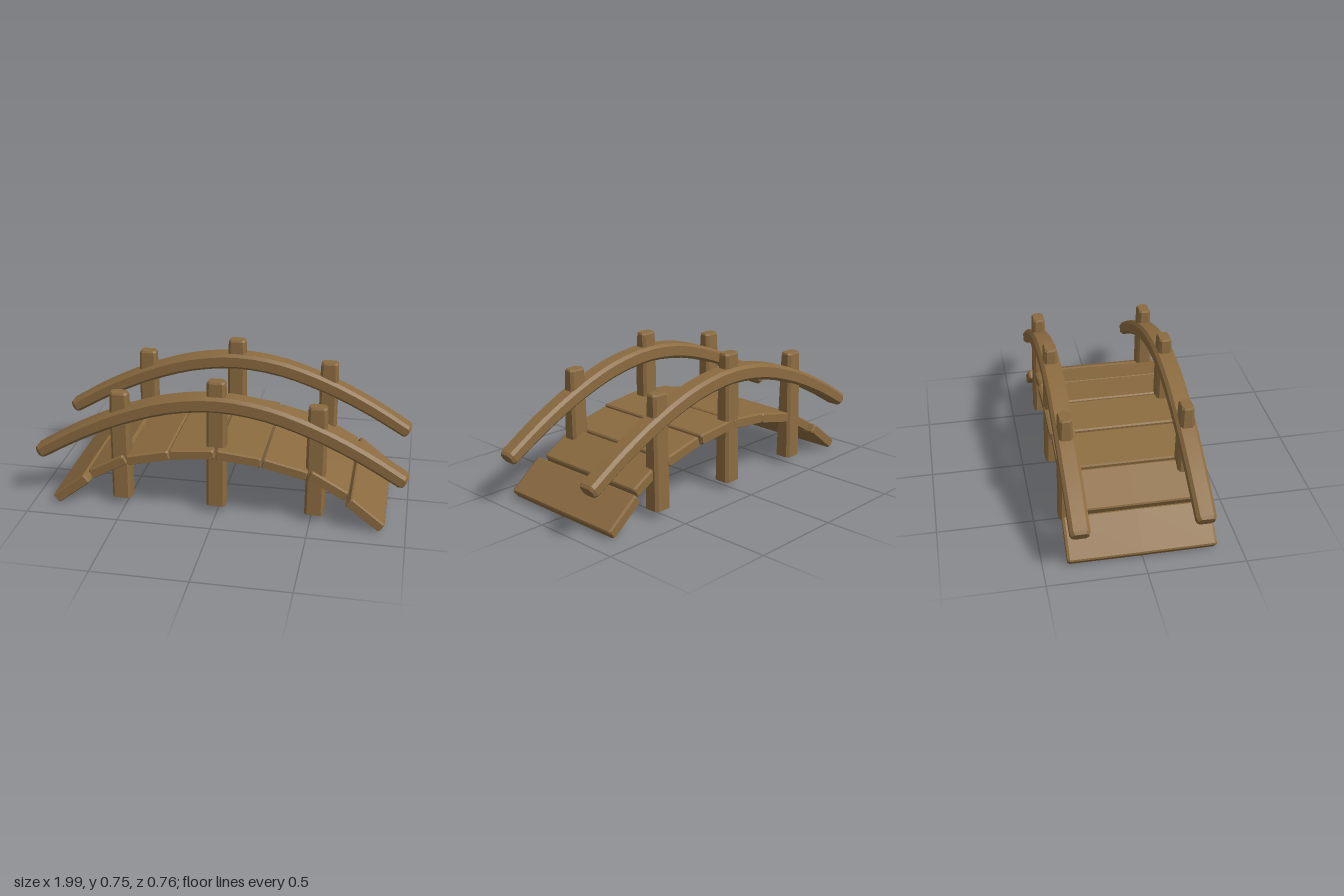
import * as THREE from 'three';
import { toCreasedNormals } from 'three/addons/utils/BufferGeometryUtils.js';

const wood = new THREE.MeshStandardMaterial({ color: 0x8b6b40 });
const V = (x, y, z) => new THREE.Vector3(x, y, z);

// Closed beam through rings of chamfered rectangles.
// Each section: centre p, side axes u and v, sizes w and h, chamfer c.
function beam(sections, crease = 0.35) {
  const pos = [], index = [], n = 8;
  for (const { p, u, v, w, h, c } of sections) {
    const a = w / 2, b = h / 2;
    const ring = [[a, c - b], [a, b - c], [a - c, b], [c - a, b], [-a, b - c], [-a, c - b], [c - a, -b], [a - c, -b]];
    for (const [s, t] of ring) {
      const q = p.clone().addScaledVector(u, s).addScaledVector(v, t);
      pos.push(q.x, q.y, q.z);
    }
  }
  const last = (sections.length - 1) * n;
  for (let i = 0; i < last; i += n) {
    for (let j = 0; j < n; j++) {
      const k = (j + 1) % n;
      index.push(i + j, i + k, i + n + k, i + j, i + n + k, i + n + j);
    }
  }
  for (let j = 1; j < n - 1; j++) {
    index.push(0, j + 1, j, last, last + j, last + j + 1);
  }
  const g = new THREE.BufferGeometry();
  g.setAttribute('position', new THREE.Float32BufferAttribute(pos, 3));
  g.setIndex(index);
  return toCreasedNormals(g, crease);
}

function add(group, geometry, name) {
  const mesh = new THREE.Mesh(geometry, wood);
  mesh.name = name;
  group.add(mesh);
  return mesh;
}

// Deck board lying along z, with slightly eased ends
function plank(length, depth) {
  const thick = 0.056, d = depth / 2;
  return beam([[-d, 0.012], [0.012 - d, 0], [0, -0.002], [d - 0.012, 0], [d, 0.012]].map(([z, inset]) => ({
    p: V(0, 0, z), u: V(1, 0, 0), v: V(0, 1, 0), w: length - inset, h: thick - inset, c: 0.007,
  })));
}

// Arched handrail with tapered, eased ends
function rail() {
  const half = [[0.25, 0.605], [0.5, 0.525], [0.75, 0.408], [0.98, 0.273]];
  const points = [
    ...half.slice().reverse().map(([x, y]) => V(-x, y, 0)),
    V(0, 0.634, 0),
    ...half.map(([x, y]) => V(x, y, 0)),
  ];
  const curve = new THREE.CatmullRomCurve3(points);
  const steps = [0, 0.008];
  for (let i = 1; i < 24; i++) steps.push(i / 24);
  steps.push(0.992, 1);
  return beam(steps.map((s) => {
    const t = curve.getPointAt(s), dir = curve.getTangentAt(s);
    const v = V(-dir.y, dir.x, 0);
    const end = s === 0 || s === 1 ? 0.014 : 0;
    const e = Math.abs(2 * s - 1) ** 2;
    return { p: t, u: V(0, 0, -1), v, w: 0.105 - 0.006 * e - end, h: 0.087 - 0.014 * e - end, c: 0.016 };
  }));
}

// Upright post, tapering towards the top
function post(top) {
  const rows = [[0.05, 0.095, 0.102], [top - 0.1, 0.074, 0.1], [top - 0.01, 0.066, 0.095], [top, 0.056, 0.085]];
  return beam(rows.map(([y, w, h]) => ({ p: V(0, y, 0), u: V(0, 0, 1), v: V(1, 0, 0), w, h, c: 0.014 })));
}

export function createModel() {
  const model = new THREE.Group();
  model.name = 'footbridge';

  // Deck: x, y, slope in degrees, length, depth for one half
  const deck = new THREE.Group();
  deck.name = 'deck';
  model.add(deck);
  const boards = [
    [0.123, 0.357, 6, 0.238, 0.74],
    [0.363, 0.312, 13, 0.238, 0.72],
    [0.588, 0.231, 29, 0.225, 0.69],
    [0.788, 0.098, 38, 0.229, 0.755],
  ];
  for (const side of [-1, 1]) {
    for (const [x, y, slope, length, depth] of boards) {
      const board = add(deck, plank(length, depth), 'plank');
      board.position.set(side * x, y, 0);
      board.rotation.z = -side * THREE.MathUtils.degToRad(slope);
    }
  }

  // Handrails with their posts, front and back
  for (const [name, z] of [['front', 0.287], ['back', -0.326]]) {
    const railing = new THREE.Group();
    railing.name = name + 'Railing';
    railing.position.z = z;
    model.add(railing);
    add(railing, rail(), 'handrail');
    for (const [x, top] of [[-0.52, 0.655], [-0.003, 0.755], [0.52, 0.655]]) {
      add(railing, post(top), 'post').position.x = x;
    }
  }
  return model;
}
